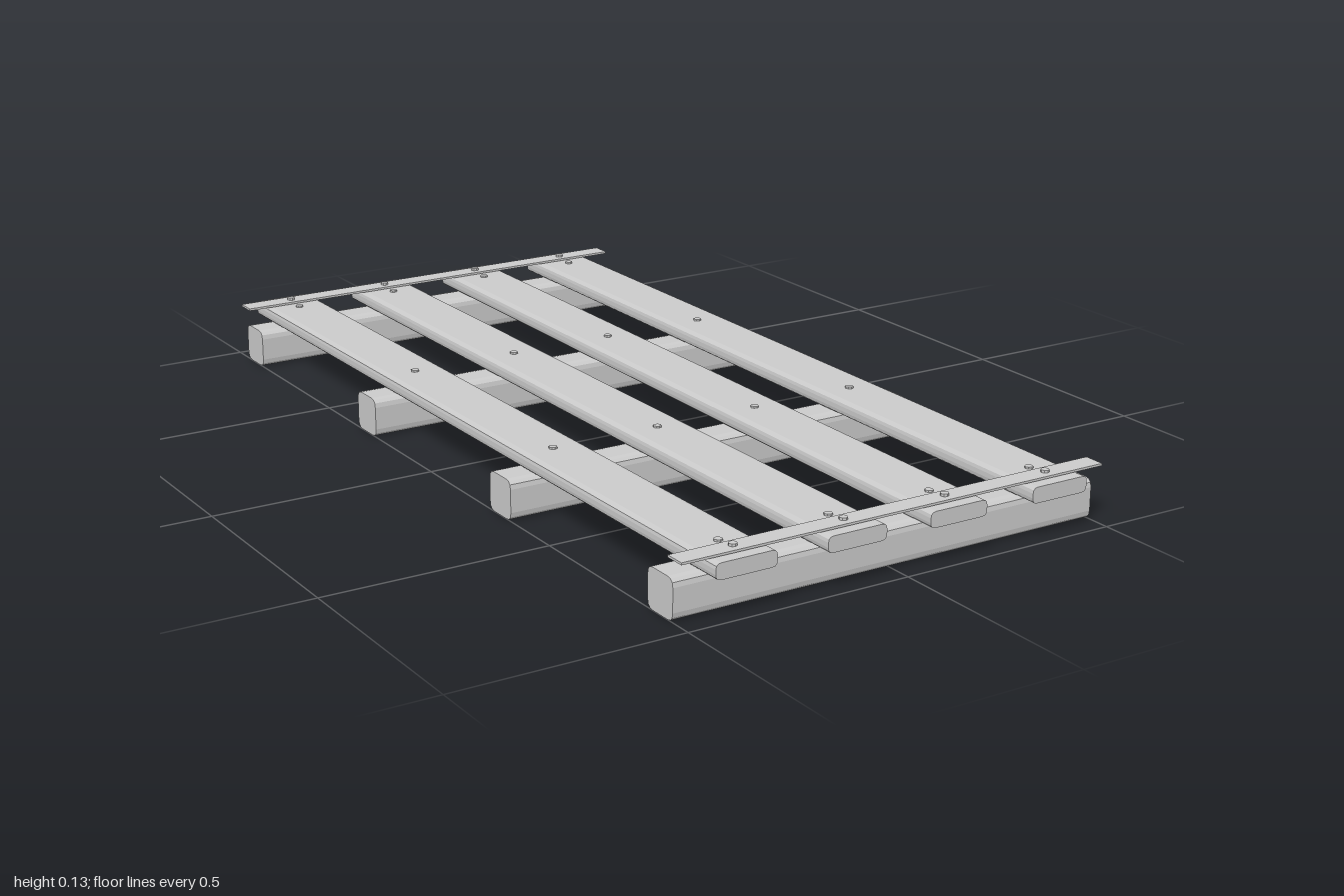
import * as THREE from 'three';

const wood = new THREE.MeshStandardMaterial({ color: 0xcccccc, flatShading: true });

// Timber of w x h section with rounded edges, running along z, centred
function timber(w, h, length, r) {
  const x = w / 2, y = h / 2;
  const s = new THREE.Shape();
  s.moveTo(-x + r, -y);
  s.lineTo(x - r, -y);
  s.quadraticCurveTo(x, -y, x, -y + r);
  s.lineTo(x, y - r);
  s.quadraticCurveTo(x, y, x - r, y);
  s.lineTo(-x + r, y);
  s.quadraticCurveTo(-x, y, -x, y - r);
  s.lineTo(-x, -y + r);
  s.quadraticCurveTo(-x, -y, -x + r, -y);
  const g = new THREE.ExtrudeGeometry(s, { depth: length, bevelEnabled: false, curveSegments: 3 });
  return g.translate(0, 0, -length / 2);
}

export function createModel() {
  const model = new THREE.Group();
  model.name = 'slattedPlatform';
  const add = (name, geometry, x, y, z, turn = 0) => {
    const mesh = new THREE.Mesh(geometry, wood);
    mesh.name = name;
    mesh.position.set(x, y, z);
    mesh.rotation.y = turn;
    model.add(mesh);
  };

  // Cross beams underneath
  const beamZ = [-0.905, -0.303, 0.303, 0.905];
  const beam = timber(0.086, 0.086, 1, 0.018).rotateY(Math.PI / 2);
  beamZ.forEach((z) => add('crossBeam', beam, 0, 0.043, z));

  // Long planks, each slightly askew: [x at back end, x at front end]
  const planks = [[-0.381, -0.373], [-0.128, -0.122], [0.127, 0.119], [0.374, 0.371]];
  const plank = timber(0.137, 0.034, 2, 0.012);
  const nail = new THREE.CylinderGeometry(0.009, 0.009, 0.01, 8);
  planks.forEach(([back, front]) => {
    const mid = (back + front) / 2, slope = (front - back) / 2;
    add('plank', plank, mid, 0.104, 0, Math.atan(slope));
    // Nail heads over each beam, and through the end straps
    beamZ.forEach((z) => add('plankNail', nail, mid + slope * z, 0.12, z));
    [-0.953, 0.953].forEach((z) => add('strapNail', nail, mid + slope * z, 0.128, z));
  });

  // Thin straps across both ends, on top of the planks
  const strap = new THREE.BoxGeometry(1, 0.005, 0.046);
  [-0.953, 0.953].forEach((z) => add('endStrap', strap, 0, 0.125, z));

  return model;
}
